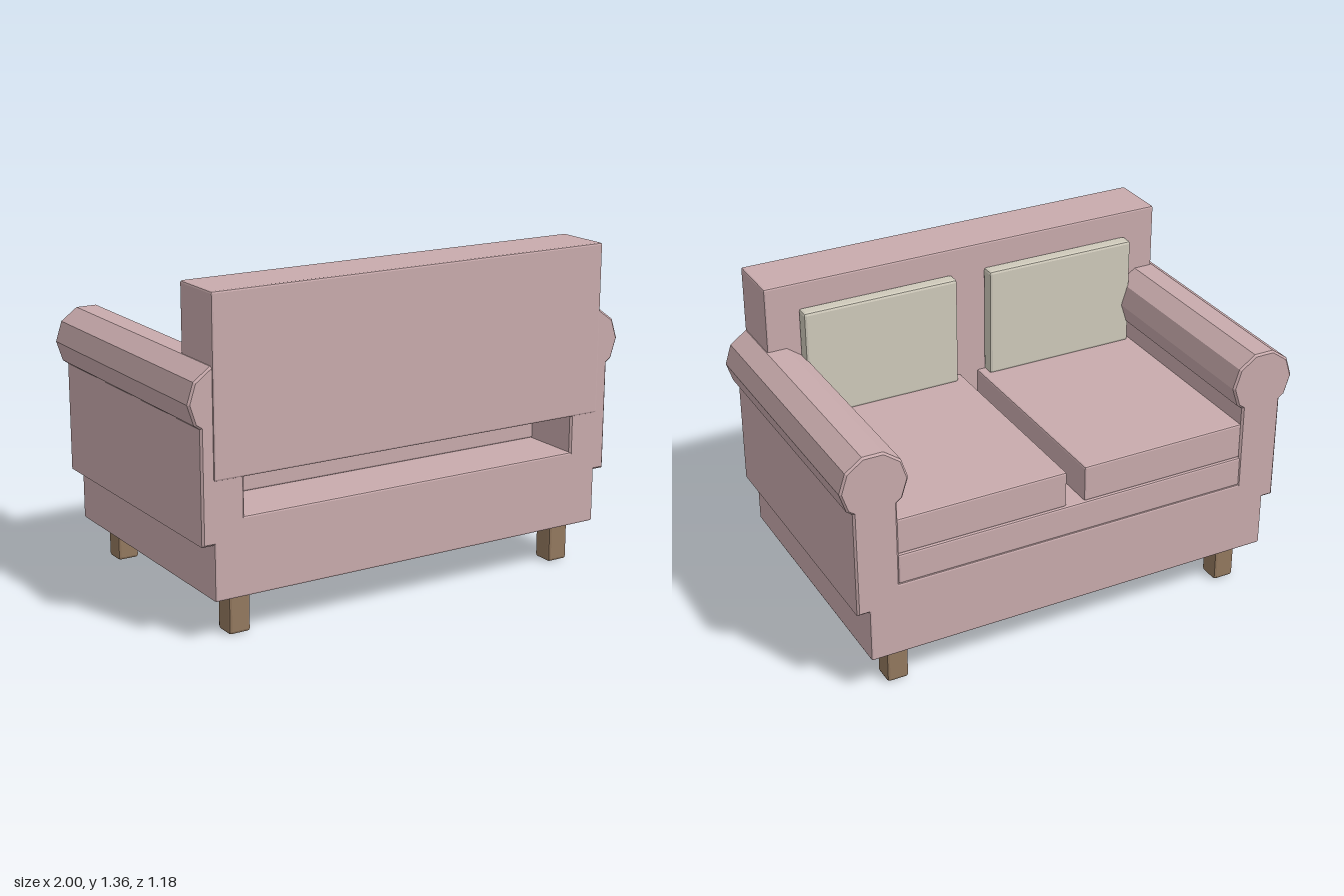
import * as THREE from 'three';
import { RoundedBoxGeometry } from 'three/addons/geometries/RoundedBoxGeometry.js';

const fabric = new THREE.MeshStandardMaterial({ color: 0xc9abad, flatShading: true });
const linen = new THREE.MeshStandardMaterial({ color: 0xcfcabb, flatShading: true });
const wood = new THREE.MeshStandardMaterial({ color: 0x94795f, flatShading: true });

// Box with softened edges, given by its min and max on each axis
function block(name, [x0, x1], [y0, y1], [z0, z1], material, edge = 0.008) {
  const geometry = new RoundedBoxGeometry(x1 - x0, y1 - y0, z1 - z0, 1, edge);
  const mesh = new THREE.Mesh(geometry, material);
  mesh.position.set((x0 + x1) / 2, (y0 + y1) / 2, (z0 + z1) / 2);
  mesh.name = name;
  return mesh;
}

// Upright arm panel topped by a ten-sided roll, extruded along the depth
function armGeometry() {
  const r = 0.14, half = 0.09, rollY = 0.95, bottom = 0.395, neck = 0.851;
  const bevel = 0.008, length = 1.174;
  const points = [[-half, bottom], [half, bottom], [half, neck]];
  for (let i = -1; i <= 6; i++) {
    const a = (i * Math.PI) / 5;
    points.push([Math.cos(a) * r, rollY + Math.sin(a) * r]);
  }
  points.push([-half, neck]);
  const shape = new THREE.Shape(points.map(([x, y]) => new THREE.Vector2(x, y)));
  const geometry = new THREE.ExtrudeGeometry(shape, {
    depth: length - 2 * bevel, bevelEnabled: true, bevelSegments: 1,
    bevelSize: bevel, bevelThickness: bevel, bevelOffset: -bevel,
  });
  return geometry.translate(0, 0, -length / 2 + bevel);
}

export function createModel() {
  const sofa = new THREE.Group();
  sofa.name = 'sofa';

  // Base, seat deck and backrest; the seat opens toward -z
  sofa.add(block('base', [-0.9, 0.9], [0.17, 0.49], [-0.587, 0.587], fabric));
  sofa.add(block('seatDeck', [-0.775, 0.775], [0.49, 0.62], [-0.587, 0.33], fabric));
  sofa.add(block('backrest', [-0.9, 0.9], [0.645, 1.36], [0.347, 0.593], fabric));

  const armShape = armGeometry();
  for (const side of [-1, 1]) {
    const label = side > 0 ? 'left' : 'right';
    const span = (a, b) => (side > 0 ? [a, b] : [-b, -a]);

    const arm = new THREE.Mesh(armShape, fabric);
    arm.name = label + 'Arm';
    arm.position.x = side * 0.86;
    sofa.add(arm);

    // Seat cushion and loose back pillow
    sofa.add(block(label + 'SeatCushion', span(0.04, 0.775), [0.62, 0.775], [-0.58, 0.35], fabric));
    sofa.add(block(label + 'BackPillow', span(0.075, 0.757), [0.77, 1.247], [0.29, 0.352], linen, 0.012));

    // Legs
    for (const z of [-0.487, 0.485]) {
      const name = label + (z > 0 ? 'Front' : 'Back') + 'Leg';
      sofa.add(block(name, span(0.72, 0.813), [0, 0.175], [z - 0.047, z + 0.047], wood, 0.012));
    }
  }
  return sofa;
}
